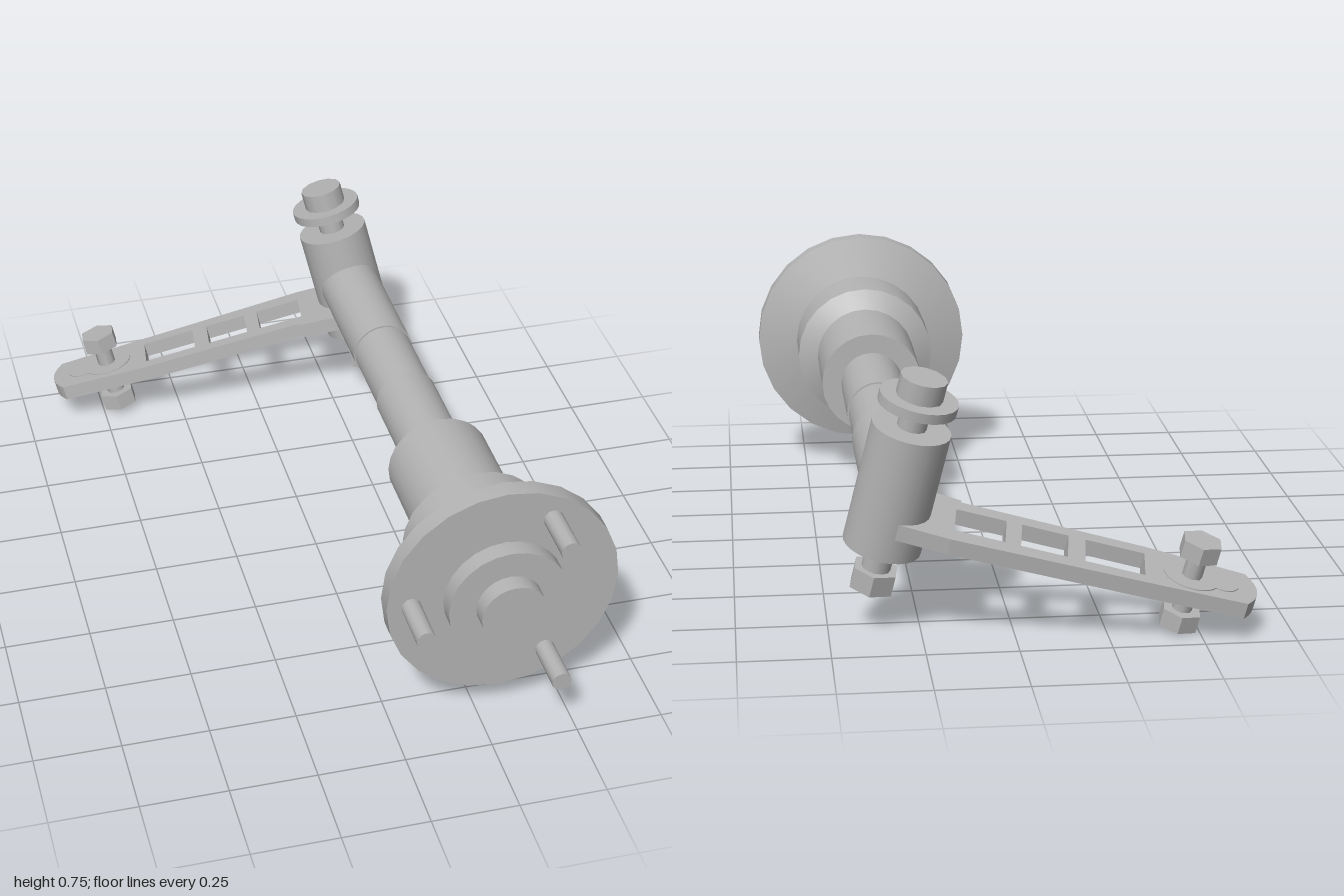
import * as THREE from 'three';
import { toCreasedNormals } from 'three/addons/utils/BufferGeometryUtils.js';

const steel = new THREE.MeshStandardMaterial({ color: 0xb4b4b4 });
steel.name = 'grey steel';

function add(parent, name, geometry) {
  const mesh = new THREE.Mesh(geometry, steel);
  mesh.name = name;
  parent.add(mesh);
  return mesh;
}

// Solid of revolution about z from [radius, z] pairs, back to front
function turned(parent, name, profile, sides = 24) {
  const points = profile.map(([r, z]) => new THREE.Vector2(r, z));
  const geo = new THREE.LatheGeometry(points, sides).rotateX(Math.PI / 2);
  return add(parent, name, toCreasedNormals(geo, 0.6));
}

// Upright cylinder between two heights
function post(parent, name, x, radius, y0, y1, sides = 24) {
  let geo = new THREE.CylinderGeometry(radius, radius, y1 - y0, sides);
  if (sides <= 6) geo = toCreasedNormals(geo, 0.3);
  const mesh = add(parent, name, geo);
  mesh.position.set(x, (y0 + y1) / 2, 0);
  return mesh;
}

export function createModel() {
  const model = new THREE.Group();
  model.name = 'stub axle';

  // Hub, bearing housing and shaft on one axis
  const axle = new THREE.Group();
  axle.name = 'axle';
  axle.position.set(0.3125, 0.413, 0);
  model.add(axle);

  turned(axle, 'shaft', [
    [0, -0.83], [0.094, -0.83], [0.094, -0.377], [0.089, -0.377], [0.089, -0.115],
    [0.094, -0.115], [0.094, 0.24], [0, 0.24],
  ]);
  turned(axle, 'hub', [
    [0, 0.225], [0.152, 0.225], [0.152, 0.55], [0.211, 0.578], [0.211, 0.762],
    [0.333, 0.794], [0.333, 0.85], [0.172, 0.85], [0.172, 0.903], [0.094, 0.903],
    [0.094, 0.955], [0, 0.955],
  ]);

  // Three wheel studs
  for (const angle of [Math.PI / 3, Math.PI, -Math.PI / 3]) {
    const stud = turned(axle, 'wheelStud', [[0, 0.8], [0.028, 0.8], [0.028, 1], [0, 1]], 12);
    stud.position.set(0.263 * Math.cos(angle), 0.263 * Math.sin(angle), 0);
  }

  // Tilted steering knuckle: local y is the pin, local -x is the lever
  const knuckle = new THREE.Group();
  knuckle.name = 'knuckle';
  const up = new THREE.Vector3(-0.23, 1, -0.17).normalize();
  const along = new THREE.Vector3(0.965, 0.239, 0.103);
  along.addScaledVector(up, -along.dot(up)).normalize();
  const side = new THREE.Vector3().crossVectors(along, up);
  knuckle.quaternion.setFromRotationMatrix(new THREE.Matrix4().makeBasis(along, up, side));
  knuckle.position.set(0.3125, 0.413, -0.83);
  model.add(knuckle);

  post(knuckle, 'knuckleBarrel', 0, 0.108, -0.178, 0.178);
  post(knuckle, 'kingPin', 0, 0.04, -0.26, 0.25, 12);
  post(knuckle, 'pinWasher', 0, 0.107, 0.24, 0.268);
  post(knuckle, 'pinHead', 0, 0.064, 0.268, 0.325, 12);
  post(knuckle, 'pinNut', 0, 0.066, -0.31, -0.25, 6);

  // Steering lever with three windows and a rounded tip
  const levelY = -0.083, thickness = 0.046;
  const outline = new THREE.Shape();
  outline.moveTo(0.03, 0.1);
  outline.lineTo(-0.17, 0.116);
  outline.lineTo(-0.7, 0.098);
  outline.lineTo(-0.983, 0.086);
  outline.quadraticCurveTo(-1.043, 0, -0.983, -0.088);
  outline.lineTo(-0.7, -0.112);
  outline.lineTo(-0.186, -0.118);
  outline.lineTo(-0.186, -0.13);
  outline.lineTo(-0.09, -0.145);
  outline.lineTo(0.03, -0.19);
  outline.closePath();
  for (const [x0, x1] of [[-0.7, -0.535], [-0.487, -0.358], [-0.315, -0.175]]) {
    const hole = new THREE.Path();
    hole.moveTo(x0, -0.07);
    hole.lineTo(x0, 0.057);
    hole.lineTo(x1, 0.057);
    hole.lineTo(x1, -0.07);
    hole.closePath();
    outline.holes.push(hole);
  }
  const leverGeo = new THREE.ExtrudeGeometry(outline, {
    depth: thickness, bevelEnabled: false, curveSegments: 8,
  }).rotateX(-Math.PI / 2);
  leverGeo.translate(0, levelY - thickness / 2, 0);
  add(knuckle, 'steeringLever', leverGeo);

  // Raised seats at the lever tip
  const half = thickness / 2 + 0.003;
  post(knuckle, 'boltSeat', -0.83, 0.078, levelY - half, levelY + half);
  post(knuckle, 'tipSeat', -0.915, 0.045, levelY - half, levelY + half);

  // Tie rod bolt with hexagonal head and nut
  post(knuckle, 'tieBolt', -0.83, 0.028, -0.19, 0.02, 8);
  post(knuckle, 'tieBoltHead', -0.83, 0.058, 0.002, 0.052, 6);
  post(knuckle, 'tieBoltNut', -0.83, 0.058, -0.21, -0.16, 6);

  return model;
}
